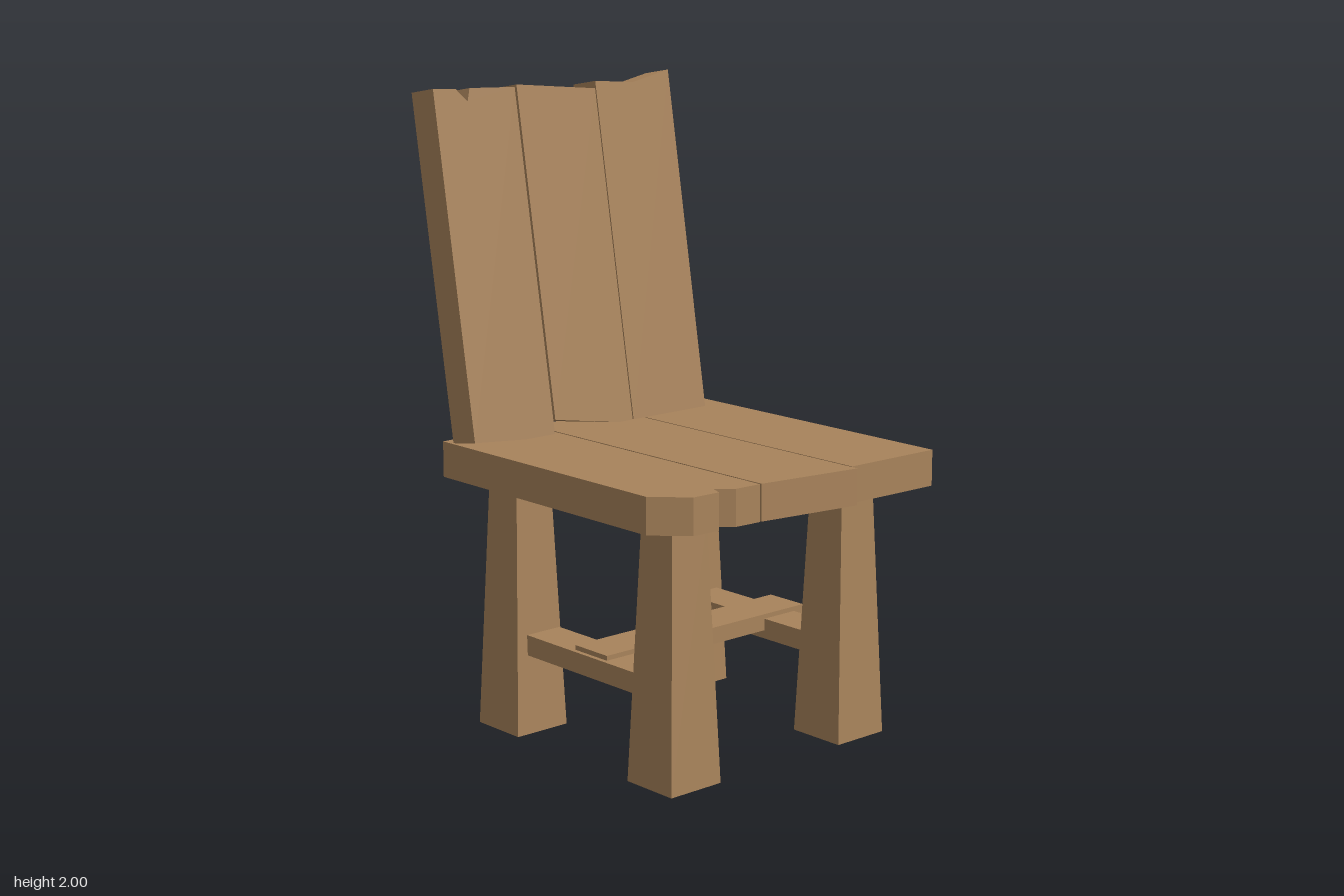
import * as THREE from 'three';

export function createModel() {
  const chair = new THREE.Group();
  chair.name = 'chair';
  const wood = new THREE.MeshStandardMaterial({ color: 0xa8835b });
  wood.name = 'wood';

  const add = (parent, geometry, name) => {
    const mesh = new THREE.Mesh(geometry, wood);
    mesh.name = name;
    parent.add(mesh);
    return mesh;
  };
  // Plank sawn from an outline of [x, y] corners
  const plank = (points, depth) => new THREE.ExtrudeGeometry(
    new THREE.Shape(points.map(([x, y]) => new THREE.Vector2(x, y))),
    { depth, bevelEnabled: false });

  // Seat: three flat planks, outlines in [x, z]
  const seat = new THREE.Group();
  seat.name = 'seat';
  chair.add(seat);
  const seatPlanks = {
    seatPlankRight: [[-0.525, -0.485], [-0.525, 0.47], [-0.43, 0.565], [-0.335, 0.568],
      [-0.32, 0.528], [-0.27, 0.57], [-0.18, 0.575], [-0.18, -0.49]],
    seatPlankMiddle: [[-0.174, -0.49], [-0.174, 0.575], [0.172, 0.625], [0.172, -0.45]],
    seatPlankLeft: [[0.177, -0.425], [0.177, 0.597], [0.52, 0.605], [0.52, -0.49]],
  };
  for (const [name, outline] of Object.entries(seatPlanks)) {
    const geometry = plank(outline.map(([x, z]) => [x, -z]), 0.113);
    geometry.rotateX(-Math.PI / 2);
    add(seat, geometry, name).position.y = 0.792;
  }

  // Backrest: three planks leaning back, outlines in [x, height]
  const lean = Math.atan2(0.185, 1.095);
  const backrest = new THREE.Group();
  backrest.name = 'backrest';
  backrest.position.set(0, 0.905, -0.335);
  backrest.rotation.x = -lean;
  chair.add(backrest);
  const backPlanks = {
    backPlankRight: [[-0.513, 0.922], [-0.2, 0.895], [-0.2, 1.979], [-0.375, 1.985],
      [-0.388, 1.945], [-0.428, 1.985], [-0.513, 1.99]],
    backPlankMiddle: [[-0.192, 0.948], [0.123, 0.895], [0.123, 1.957], [-0.192, 1.986]],
    backPlankLeft: [[0.127, 0.9], [0.44, 0.9], [0.44, 2], [0.285, 1.968], [0.127, 1.98]],
  };
  for (const [name, outline] of Object.entries(backPlanks)) {
    const local = outline.map(([x, y]) => [x, (y - 0.905) / Math.cos(lean)]);
    add(backrest, plank(local, 0.111), name).position.z = -0.111;
  }

  // Legs: square posts, wider at the foot
  const leg = new THREE.BoxGeometry(0.195, 0.792, 0.195);
  const p = leg.attributes.position;
  for (let i = 0; i < p.count; i++) {
    if (p.getY(i) > 0) p.setXYZ(i, p.getX(i) * 0.69, p.getY(i), p.getZ(i) * 0.69);
  }
  leg.computeVertexNormals();
  for (const [side, x] of [['Right', -0.3675], ['Left', 0.3225]]) {
    for (const [end, z] of [['front', 0.4125], ['back', -0.3025]]) {
      add(chair, leg, `${end}Leg${side}`).position.set(x, 0.396, z);
    }
  }

  // Stretchers: one each side, and a crossbar resting over them
  const bar = (name, x0, x1, y0, y1, z0, z1) =>
    add(chair, new THREE.BoxGeometry(x1 - x0, y1 - y0, z1 - z0), name)
      .position.set((x0 + x1) / 2, (y0 + y1) / 2, (z0 + z1) / 2);
  bar('sideStretcherRight', -0.415, -0.285, 0.253, 0.318, -0.23, 0.34);
  bar('sideStretcherLeft', 0.255, 0.385, 0.253, 0.318, -0.23, 0.34);
  bar('crossStretcher', -0.4, 0.425, 0.28, 0.333, 0, 0.147);

  return chair;
}
